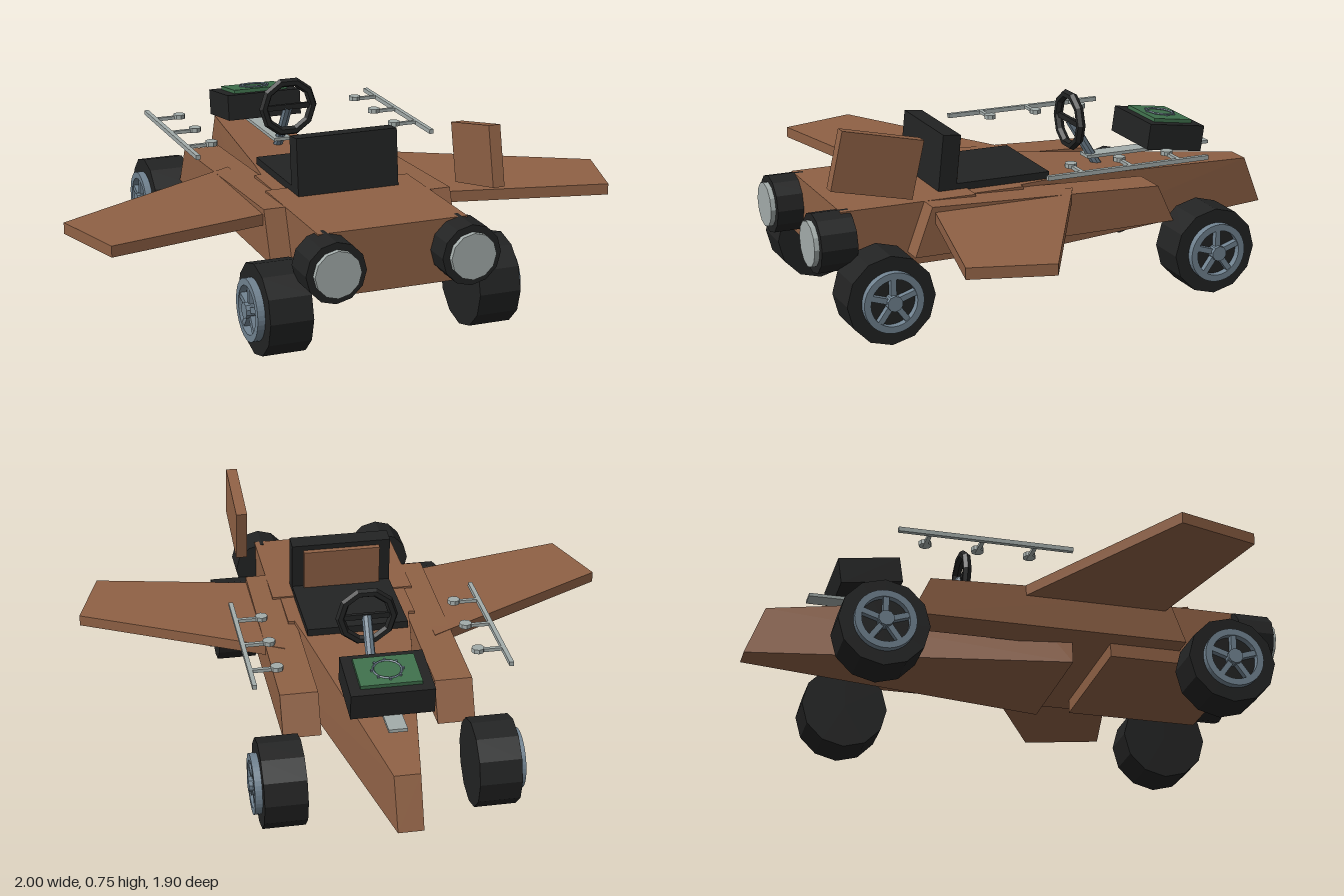
import * as THREE from 'three';
import { ConvexGeometry } from 'three/addons/geometries/ConvexGeometry.js';

const material = (name, color) => {
  const m = new THREE.MeshStandardMaterial({ color, flatShading: true });
  m.name = name;
  return m;
};

export function createModel() {
  const root = new THREE.Group();
  root.name = 'wingedCart';
  const brown = material('brown', 0x8f6145);
  const black = material('black', 0x222323);
  const grey = material('lightGrey', 0xa3acaa);
  const steel = material('steelBlue', 0x708290);
  const green = material('green', 0x3f704c);

  const add = (name, geo, mat, x = 0, y = 0, z = 0, parent = root) => {
    const mesh = new THREE.Mesh(geo, mat);
    mesh.name = name;
    mesh.position.set(x, y, z);
    parent.add(mesh);
    return mesh;
  };
  const box = (name, mat, w, h, d, x, y, z, parent) =>
    add(name, new THREE.BoxGeometry(w, h, d), mat, x, y, z, parent);
  const solid = (name, mat, pts) =>
    add(name, new ConvexGeometry(pts.map((p) => new THREE.Vector3(...p))), mat);
  const group = (name, x, y, z, tilt = 0) => {
    const g = new THREE.Group();
    g.name = name;
    g.position.set(x, y, z);
    g.rotation.x = tilt;
    root.add(g);
    return g;
  };

  // Tapered nose: half width, y, z
  const nose = [[0.25, 0.18, 0.2], [0.045, 0.18, -0.95], [0.046, 0.36, -0.88], [0.198, 0.43, 0.02], [0.225, 0.43, 0.2]];
  solid('nose', brown, nose.flatMap(([w, y, z]) => [[w, y, z], [-w, y, z]]));

  // Rear body and floor under the seat
  box('rearBody', brown, 0.54, 0.225, 0.5, 0, 0.3225, 0.585);
  box('seatFloor', brown, 0.48, 0.17, 0.2, 0, 0.345, 0.24);

  for (const s of [1, -1]) {
    // Side pod
    const pod = [[0.26, 0.595], [0.26, -0.41], [0.4, -0.345], [0.435, 0.53]];
    solid('sidePod', brown, pod.flatMap(([y, z]) => [[s * 0.21, y, z], [s * 0.347, y, z]]));

    // Swept wing
    const wing = [[0.28, -0.035], [1, 0.36], [0.915, 0.645], [0.28, 0.505]];
    solid('wing', brown, wing.flatMap(([x, z]) => [[s * x, 0.375, z], [s * x, 0.415, z]]));

    // Exhaust pipe with pale end cap
    add('exhaust', new THREE.CylinderGeometry(0.107, 0.107, 0.13, 12), black, s * 0.243, 0.33, 0.867).rotation.x = Math.PI / 2;
    add('exhaustCap', new THREE.CylinderGeometry(0.082, 0.082, 0.04, 12), grey, s * 0.243, 0.33, 0.93).rotation.x = Math.PI / 2;

    // Side rail on three arms
    box('sideRail', grey, 0.016, 0.016, 0.63, s * 0.452, 0.52, -0.17);
    for (const z of [-0.37, -0.18, 0.01]) {
      box('railArm', grey, 0.1, 0.012, 0.014, s * 0.4, 0.522, z);
      add('railKnob', new THREE.CylinderGeometry(0.023, 0.023, 0.016, 8), grey, s * 0.358, 0.526, z);
    }

    // Wheels; the local z axis points outward
    for (const [name, z] of [['frontWheel', -0.525], ['rearWheel', 0.725]]) {
      const wheel = group(name, s * 0.378, 0.16, z);
      wheel.rotation.y = s * Math.PI / 2;
      add('tyre', new THREE.CylinderGeometry(0.16, 0.16, 0.152, 12), black, 0, 0, 0, wheel).rotation.x = Math.PI / 2;
      const ring = new THREE.Shape().absarc(0, 0, 0.108, 0, Math.PI * 2);
      ring.holes.push(new THREE.Path().absarc(0, 0, 0.084, 0, Math.PI * 2, true));
      add('rimRing', new THREE.ExtrudeGeometry(ring, { depth: 0.03, bevelEnabled: false, curveSegments: 20 }),
        steel, 0, 0, 0.072, wheel);
      add('hub', new THREE.CylinderGeometry(0.028, 0.028, 0.04, 10), steel, 0, 0, 0.092, wheel).rotation.x = Math.PI / 2;
      for (let i = 0; i < 5; i++) {
        const a = i * Math.PI * 2 / 5;
        box('spoke', steel, 0.02, 0.08, 0.022, -Math.sin(a) * 0.054, Math.cos(a) * 0.054, 0.087, wheel).rotation.z = a;
      }
    }
  }

  // Single tilted tail fin
  box('tailFin', brown, 0.042, 0.209, 0.298, 0.35, 0.615, 0.7345).rotation.x = -0.223;

  // Seat
  box('seatBase', black, 0.376, 0.03, 0.36, 0, 0.441, 0.195);
  const back = group('seatBack', 0, 0.533, 0.4, -0.105);
  box('backrest', black, 0.376, 0.205, 0.067, 0, 0, 0, back);
  box('backCushion', brown, 0.29, 0.165, 0.022, 0, 0, -0.042, back);

  // Steering wheel and column
  const steering = group('steeringWheel', 0, 0.583, -0.155);
  add('steeringRim', new THREE.TorusGeometry(0.097, 0.017, 6, 10), black, 0, 0, 0, steering);
  box('steeringBar', black, 0.18, 0.02, 0.014, 0, 0, 0, steering);
  const top = new THREE.Vector3(0, 0.585, -0.155), foot = new THREE.Vector3(0, 0.39, -0.275);
  add('steeringColumn', new THREE.TubeGeometry(new THREE.LineCurve3(top, foot), 1, 0.018, 8), steel);

  // Pale strip along the nose
  box('noseStrip', grey, 0.066, 0.012, 0.51, 0, 0.44, -0.47);

  // Tilted console with a green screen and dial
  const con = group('console', 0, 0.508, -0.523, -0.142);
  box('consoleBox', black, 0.294, 0.097, 0.227, 0, 0, 0, con);
  box('screen', green, 0.216, 0.014, 0.158, 0, 0.055, 0, con);
  add('dialRing', new THREE.TorusGeometry(0.05, 0.004, 4, 16), steel, 0, 0.065, 0, con).rotation.x = Math.PI / 2;
  for (let i = 0; i < 8; i++) {
    const a = i * Math.PI / 4;
    box('dialMark', steel, 0.008, 0.007, 0.008, Math.cos(a) * 0.055, 0.065, Math.sin(a) * 0.055, con);
  }

  return root;
}
